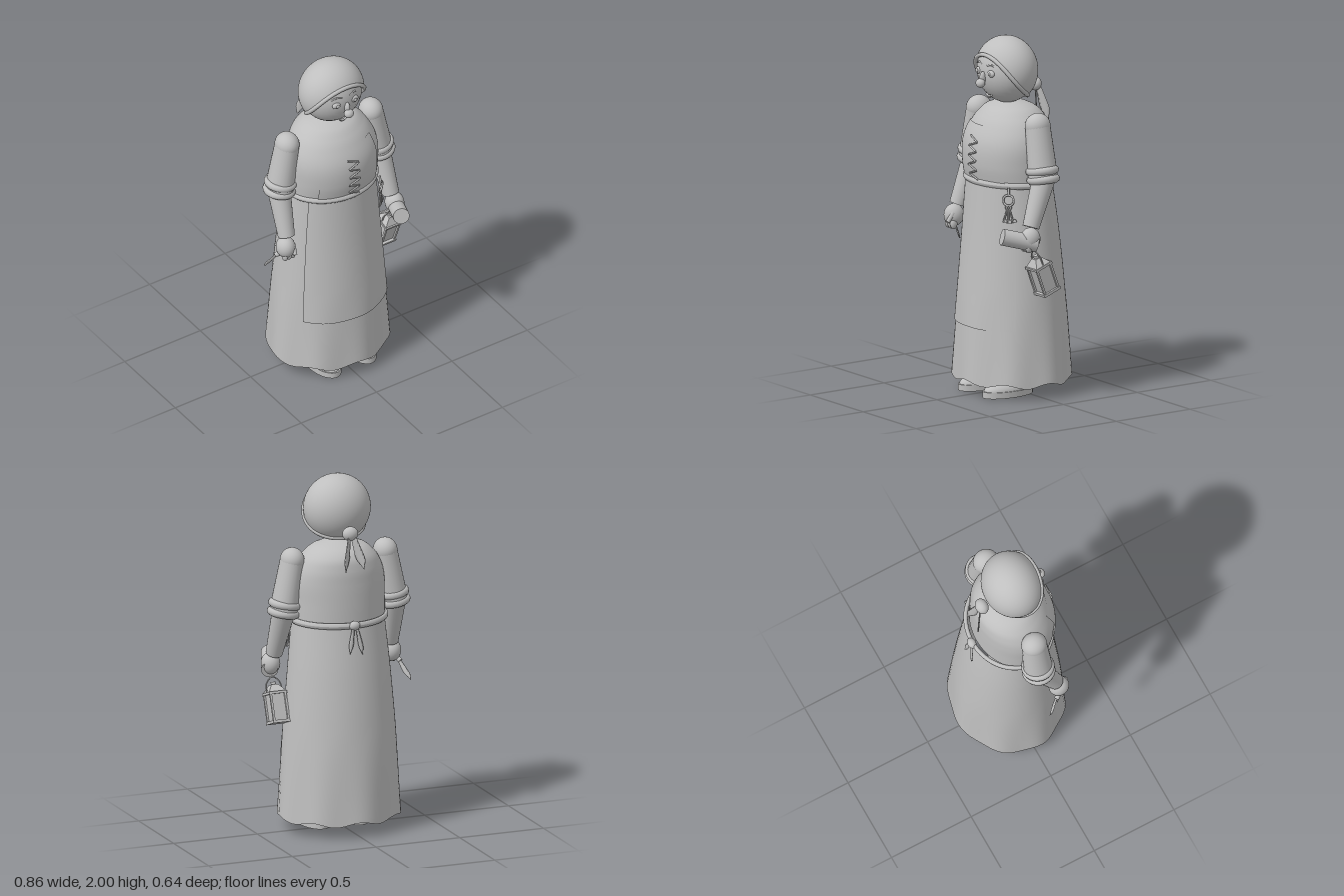
import * as THREE from 'three';

const V = (x, y, z) => new THREE.Vector3(x, y, z);
const grey = new THREE.MeshStandardMaterial({ color: 0xbfbfbf, side: THREE.DoubleSide });
grey.name = 'plain grey';

// Elliptical cross-sections: [y, half width, centre z, half depth]
const TORSO = [
  [1.19, 0.27, 0.025, 0.212], [1.3, 0.272, 0.035, 0.222], [1.42, 0.268, 0.033, 0.218],
  [1.5, 0.243, 0.02, 0.2], [1.57, 0.195, 0.008, 0.165], [1.62, 0.12, 0.01, 0.1], [1.64, 0.03, 0.01, 0.025]];
const SKIRT = [[0.08, 0.35, 0, 0.313], [0.5, 0.322, 0, 0.288], [0.9, 0.29, 0.005, 0.252], [1.2, 0.262, 0.017, 0.22]];

function section(rows) {
  const f = new THREE.CubicInterpolant(rows.map(r => r[0]), rows.flatMap(r => r.slice(1)), 3, new Float32Array(3));
  return y => Array.from(f.evaluate(y));
}

// Point on a body surface at height y and angle a (0 = front), with folds near the hem
function surfacePoint(sec, y, a, grow = 0) {
  const [rx, zc, rz] = sec(y);
  const fold = Math.max(0, 1 - (y - 0.08) / 0.5);
  const k = 1 + 0.022 * fold * Math.sin(8 * a + 0.7);
  return V(0.012 + Math.sin(a) * (rx * k + grow), y + 0.012 * fold * fold * Math.cos(8 * a), zc + Math.cos(a) * (rz * k + grow));
}

// Grid of quads from a function of two indices
function gridGeometry(rows, cols, closed, point) {
  const pos = [], idx = [], n = closed ? cols : cols + 1;
  for (let i = 0; i <= rows; i++) for (let j = 0; j < n; j++) pos.push(...point(i / rows, j / cols).toArray());
  for (let i = 0; i < rows; i++) for (let j = 0; j < cols; j++) {
    const a = i * n + j, b = i * n + (j + 1) % n;
    idx.push(a, b, b + n, a, b + n, a + n);
  }
  const g = new THREE.BufferGeometry();
  g.setAttribute('position', new THREE.Float32BufferAttribute(pos, 3));
  g.setIndex(idx);
  g.computeVertexNormals();
  return g;
}

function shell(rows, y0, y1, a0 = -Math.PI, a1 = Math.PI, grow = 0) {
  const sec = section(rows), closed = a1 - a0 > 6.2;
  return gridGeometry(28, closed ? 72 : 28, closed, (u, v) =>
    surfacePoint(sec, y0 + (y1 - y0) * u, a0 + (a1 - a0) * v, grow));
}

export function createModel() {
  const root = new THREE.Group();
  root.name = 'woman';
  const add = (name, geo, pos = V(0, 0, 0), parent = root) => {
    const m = new THREE.Mesh(geo, grey);
    m.name = name;
    m.position.copy(pos);
    parent.add(m);
    return m;
  };
  const ball = (name, p, rx, ry = rx, rz = rx, parent = root) => {
    const m = add(name, new THREE.SphereGeometry(1, 28, 20), p, parent);
    m.scale.set(rx, ry, rz);
    return m;
  };
  const limb = (name, a, b, ra, rb, parent = root, sides = 24) => {
    const d = b.clone().sub(a);
    const m = add(name, new THREE.CylinderGeometry(rb, ra, d.length(), sides), a.clone().lerp(b, 0.5), parent);
    m.quaternion.setFromUnitVectors(V(0, 1, 0), d.normalize());
    return m;
  };
  const cord = (name, pts, r, smooth = true, parent = root, closed = false) => {
    const c = new THREE.CatmullRomCurve3(pts, closed, 'catmullrom', smooth ? 0.5 : 0);
    return add(name, new THREE.TubeGeometry(c, pts.length * 6, r, 8, closed), V(0, 0, 0), parent);
  };
  // Flat pointed strip hanging from a to b
  const ribbon = (name, a, b, w, tip, wide = V(1, 0, 0)) =>
    add(name, gridGeometry(8, 6, true, (u, v) => {
      const t = v * Math.PI * 2, half = w * (u < 0.7 ? 0.5 + u * 0.7 : 0.99 + (tip - 0.99) * (u - 0.7) / 0.3);
      return a.clone().lerp(b, u).addScaledVector(wide, Math.cos(t) * half).add(V(0, 0, Math.sin(t) * 0.005));
    }));

  // Dress and apron
  add('bodice', shell(TORSO, 1.19, 1.64));
  add('skirt', shell(SKIRT, 0.08, 1.2));
  add('apron', shell(SKIRT, 0.39, 1.19, -0.98, 0.97, 0.007));
  add('bodicePanel', shell(TORSO, 1.2, 1.52, -0.76, 0.76, 0.006));
  const waist = section(SKIRT), chest = section(TORSO);
  const beltPoint = (u, v) => {
    const t = u * Math.PI * 2, a = v * Math.PI * 2;
    const p = surfacePoint(waist, 1.2, a, 0.009 + 0.012 * Math.cos(t));
    return p.setY(1.2 + 0.006 * Math.cos(a) + 0.018 * Math.sin(t));
  };
  add('belt', gridGeometry(10, 64, true, beltPoint));
  const laces = [];
  for (let i = 0; i < 10; i++) {
    const y = 1.22 + i * 0.0265;
    laces.push(surfacePoint(chest, y, i % 2 ? -0.13 : 0.13, 0.014));
  }
  cord('lacing', laces, 0.005, false);

  // Belt knot at the back
  ball('beltKnot', V(0.01, 1.195, -0.218), 0.032, 0.026, 0.024);
  ribbon('beltTail', V(0, 1.19, -0.225), V(-0.03, 1.03, -0.24), 0.015, 0.008);
  ribbon('beltTail', V(0.02, 1.19, -0.225), V(0.045, 1.04, -0.24), 0.015, 0.008);

  // Head and face
  const C = V(0.01, 1.81, 0.035);
  ball('head', C, 0.178, 0.183, 0.157);
  ball('noseBridge', V(0.01, 1.785, 0.195), 0.015, 0.034, 0.02);
  ball('nose', V(0.01, 1.755, 0.212), 0.028, 0.026, 0.026);
  for (const s of [-1, 1]) {
    const x = 0.008 + s * 0.058;
    ball('eye', V(x, 1.813, 0.179), 0.027, 0.02, 0.015);
    ball('pupil', V(x, 1.813, 0.193), 0.01, 0.01, 0.006);
    cord('eyebrow', [V(x - s * 0.035, 1.852, 0.182), V(x, 1.861, 0.176), V(x + s * 0.032, 1.845, 0.16)], 0.005);
  }
  cord('mouth', [V(-0.014, 1.682, 0.153), V(0.01, 1.677, 0.157), V(0.034, 1.682, 0.153)], 0.006);
  ball('lowerLip', V(0.01, 1.668, 0.15), 0.015, 0.006, 0.007);

  // Headscarf: a cap swept from the back of the head to a slanted edge around the face
  const face = V(0, -0.74, 0.67), up = V(0, 0.67, 0.74), side = V(1, 0, 0);
  const scarfPoint = (u, phi, r) => {
    const edge = 1.38 - 0.22 * Math.sin(phi) ** 2;
    const th = Math.PI - (Math.PI - edge) * u;
    const d = face.clone().multiplyScalar(Math.cos(th))
      .addScaledVector(up, Math.sin(th) * Math.cos(phi)).addScaledVector(side, Math.sin(th) * Math.sin(phi));
    return V(d.x * 0.19 * r, d.y * 0.19 * r, d.z * 0.167 * r).add(C);
  };
  add('headscarf', gridGeometry(24, 56, true, (u, v) => scarfPoint(u, -v * Math.PI * 2, 1)));
  const rim = Array.from({ length: 32 }, (_, i) => scarfPoint(1, i / 32 * Math.PI * 2, 1));
  cord('headscarfRim', rim, 0.012, true, root, true);
  ball('headscarfKnot', V(0.01, 1.705, -0.155), 0.045, 0.04, 0.036);
  ribbon('headscarfTail', V(0, 1.7, -0.17), V(-0.05, 1.51, -0.21), 0.03, 0.014, V(0.8, 0, 0.6));
  ribbon('headscarfTail', V(0.02, 1.7, -0.17), V(0.06, 1.5, -0.212), 0.03, 0.014, V(0.8, 0, -0.6));

  // Arms
  for (const s of [-1, 1]) {
    const off = s < 0 ? 0 : 0.012, arm = new THREE.Group();
    arm.name = s < 0 ? 'rightArm' : 'leftArm';
    root.add(arm);
    const shoulder = V(s * 0.272 + off, 1.54, 0.02), elbow = V(s * 0.325 + off, 1.24, 0.02);
    const wrist = V(s * 0.34 + off, 0.99, 0.115);
    limb('sleeve', shoulder, elbow, 0.066, 0.079, arm).scale.z = 1.08;
    ball('shoulder', shoulder, 0.067, 0.07, 0.073, arm);
    for (const t of [0.82, 0.98]) {
      const p = shoulder.clone().lerp(elbow, t);
      const cuff = add('rolledCuff', new THREE.TorusGeometry(0.07, 0.023, 10, 28), p, arm);
      cuff.quaternion.setFromUnitVectors(V(0, 0, 1), elbow.clone().sub(shoulder).normalize());
    }
    limb('forearm', elbow, wrist, 0.064, 0.047, arm);
    ball('elbow', elbow, 0.064, 0.064, 0.064, arm);
    const hand = V(s * 0.355 + off, 0.93, 0.13);
    ball('hand', hand, 0.053, 0.063, 0.058, arm);
    for (let i = 0; i < 3; i++)
      ball('finger', hand.clone().add(V(s * (-0.03 + i * 0.025), -0.042, 0.022)), 0.016, 0.032, 0.022, arm);
    limb('thumb', hand.clone().add(V(-s * 0.03, 0.02, 0.025)), hand.clone().add(V(-s * 0.025, -0.03, 0.06)), 0.015, 0.011, arm, 12);
  }

  // Small curved blade in the right hand
  limb('knifeHandle', V(-0.345, 0.935, 0.17), V(-0.395, 0.87, 0.095), 0.014, 0.014, root, 12);
  ribbon('knifeBlade', V(-0.385, 0.885, 0.105), V(-0.432, 0.77, 0.035), 0.024, 0.012, V(0.85, 0.3, 0.4));

  // Rolled bundle in the left hand
  limb('roll', V(0.385, 0.9, 0.1), V(0.312, 0.95, 0.28), 0.046, 0.046, root, 24);

  // Lantern, hanging at a tilt
  const lantern = new THREE.Group();
  lantern.name = 'lantern';
  lantern.position.set(0.367, 0.705, 0.046);
  lantern.rotation.x = 0.36;
  root.add(lantern);
  add('lanternBase', new THREE.BoxGeometry(0.105, 0.016, 0.115), V(0, -0.087, 0), lantern);
  add('lanternTop', new THREE.BoxGeometry(0.105, 0.014, 0.115), V(0, 0.073, 0), lantern);
  add('lanternGlass', new THREE.BoxGeometry(0.078, 0.15, 0.085), V(0, -0.008, 0), lantern);
  for (const x of [-1, 1]) for (const z of [-1, 1])
    add('lanternPost', new THREE.BoxGeometry(0.012, 0.15, 0.012), V(x * 0.043, -0.008, z * 0.047), lantern);
  const roof = new THREE.CylinderGeometry(0.028, 0.07, 0.04, 4).toNonIndexed();
  roof.computeVertexNormals();
  add('lanternRoof', roof, V(0, 0.1, 0), lantern).rotation.y = Math.PI / 4;
  add('lanternCap', new THREE.CylinderGeometry(0.014, 0.014, 0.02, 12), V(0, 0.125, 0), lantern);
  cord('lanternHandle', [V(-0.045, 0.08, 0), V(-0.04, 0.13, 0), V(0, 0.165, 0), V(0.04, 0.13, 0), V(0.045, 0.08, 0)], 0.004, true, lantern);

  // Key ring on the belt
  const keys = new THREE.Group();
  keys.name = 'keyRing';
  keys.position.set(0.238, 1.13, 0.185);
  keys.rotation.y = 0.65;
  root.add(keys);
  add('ring', new THREE.TorusGeometry(0.03, 0.006, 8, 28), V(0, 0, 0), keys);
  limb('strap', V(0, 0.025, 0), V(0, 0.07, -0.005), 0.007, 0.007, keys, 8);
  for (const t of [-0.3, 0, 0.3]) {
    const key = new THREE.Group();
    key.name = 'key';
    key.position.y = -0.03;
    key.rotation.z = t;
    keys.add(key);
    add('keyBow', new THREE.TorusGeometry(0.012, 0.004, 6, 14), V(0, -0.012, 0), key);
    limb('keyShaft', V(0, -0.02, 0), V(0, -0.1, 0), 0.005, 0.005, key, 8);
    add('keyBit', new THREE.BoxGeometry(0.018, 0.018, 0.006), V(0.01, -0.09, 0), key);
  }

  // Legs and shoes
  for (const x of [-0.107, 0.125]) {
    limb('leg', V(x, 0.05, 0.02), V(x, 0.6, 0.02), 0.062, 0.07);
    const sole = add('sole', new THREE.CylinderGeometry(1, 1, 0.035, 36), V(x, 0.0175, 0.11));
    sole.scale.set(0.083, 1, 0.16);
    const upper = add('shoe', new THREE.SphereGeometry(1, 32, 12, 0, Math.PI * 2, 0, Math.PI / 2), V(x, 0.03, 0.11));
    upper.scale.set(0.077, 0.06, 0.152);
    const collar = add('shoeCollar', new THREE.TorusGeometry(0.062, 0.012, 8, 24), V(x, 0.075, 0.03));
    collar.rotation.x = Math.PI / 2;
  }
  return root;
}
